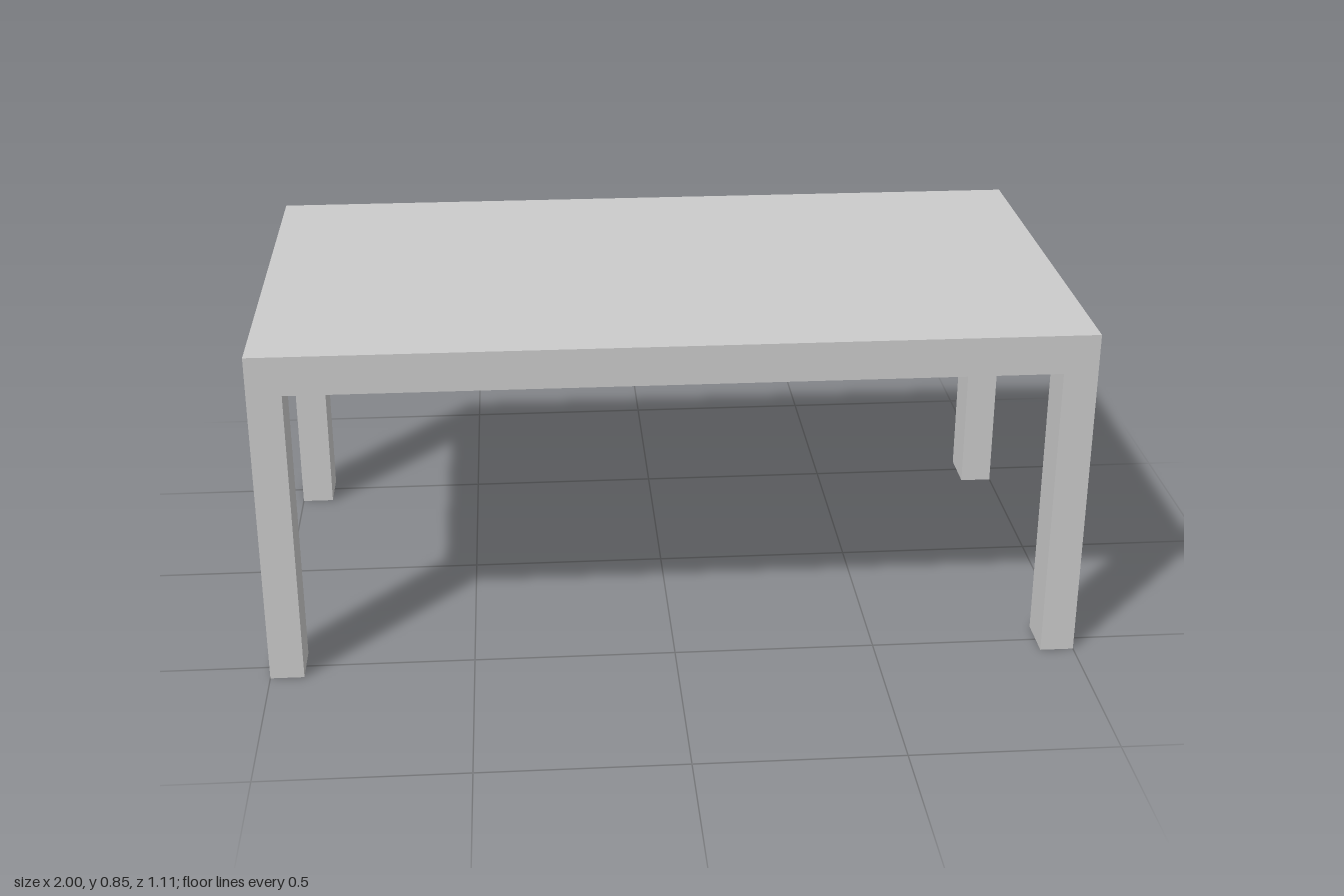
import * as THREE from 'three';

const WIDTH = 2, DEPTH = 1.105, HEIGHT = 0.85;
const UNDERSIDE = 0.753;
const LEG_WIDTH = 0.083, FRONT_LEG_DEPTH = 0.117, BACK_LEG_DEPTH = 0.127;

export function createModel() {
  const table = new THREE.Group();
  table.name = 'table';
  const material = new THREE.MeshStandardMaterial({ color: 0xcccccc, flatShading: true });

  const addBox = (name, w, h, d, x, y, z) => {
    const mesh = new THREE.Mesh(new THREE.BoxGeometry(w, h, d), material);
    mesh.name = name;
    mesh.position.set(x, y, z);
    table.add(mesh);
  };

  // Solid slab top
  addBox('tableTop', WIDTH, HEIGHT - UNDERSIDE, DEPTH, 0, (HEIGHT + UNDERSIDE) / 2, 0);

  // Corner legs flush with the edges of the top; the back pair is slightly deeper
  for (const [sideName, sx] of [['Left', 1], ['Right', -1]]) {
    for (const [endName, sz, depth] of [['front', 1, FRONT_LEG_DEPTH], ['back', -1, BACK_LEG_DEPTH]]) {
      addBox(`${endName}${sideName}Leg`, LEG_WIDTH, UNDERSIDE, depth,
        sx * (WIDTH - LEG_WIDTH) / 2, UNDERSIDE / 2, sz * (DEPTH - depth) / 2);
    }
  }
  return table;
}
